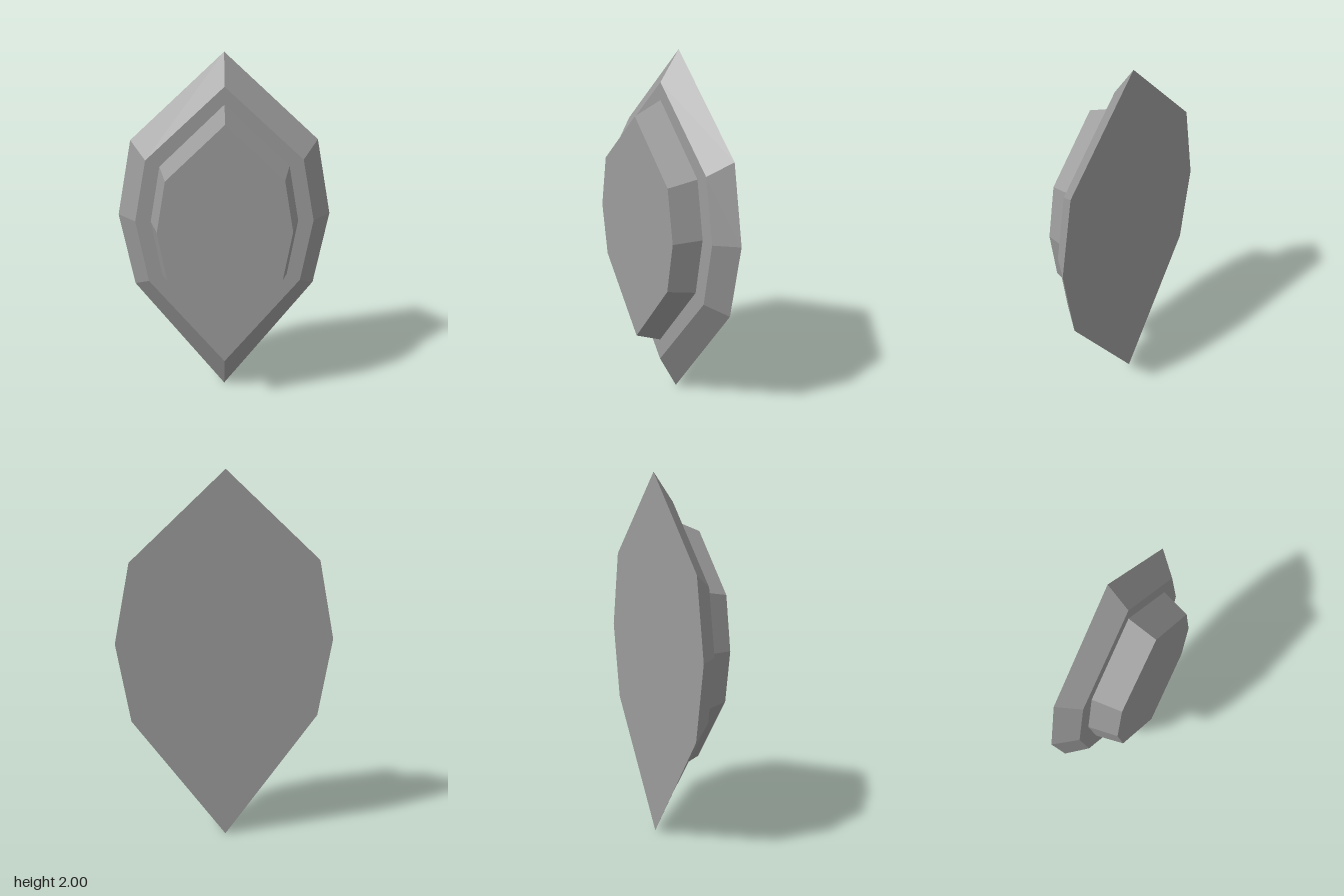
import * as THREE from 'three';

// Mirror a half outline [x, y] (top to bottom) into a full counter-clockwise ring
function ring(half, z) {
  const left = half.map(([x, y]) => new THREE.Vector3(-x, y, z));
  const right = half.slice(1, -1).reverse().map(([x, y]) => new THREE.Vector3(x, y, z));
  return [...left, ...right];
}

// Faceted solid between a back ring and a front ring, closed by flat caps
function facetedSolid(name, back, front, material) {
  const n = back.length;
  const points = [];
  const normals = [];
  const add = (normal, ...corners) => corners.forEach((corner) => {
    points.push(corner);
    normals.push(normal.x, normal.y, normal.z);
  });

  // Side facets, each with a single normal so it reads as one plane
  for (let i = 0; i < n; i++) {
    const [a, b, c, d] = [back[i], back[(i + 1) % n], front[(i + 1) % n], front[i]];
    const normal = c.clone().sub(a).cross(d.clone().sub(b)).normalize();
    add(normal, a, b, c, a, c, d);
  }

  // Front and back caps
  const forward = new THREE.Vector3(0, 0, 1);
  const backward = new THREE.Vector3(0, 0, -1);
  for (let i = 1; i < n - 1; i++) {
    add(forward, front[0], front[i], front[i + 1]);
    add(backward, back[0], back[i + 1], back[i]);
  }

  const geometry = new THREE.BufferGeometry().setFromPoints(points);
  geometry.setAttribute('normal', new THREE.Float32BufferAttribute(normals, 3));
  const mesh = new THREE.Mesh(geometry, material);
  mesh.name = name;
  return mesh;
}

export function createModel() {
  const group = new THREE.Group();
  group.name = 'facetedGem';
  const material = new THREE.MeshStandardMaterial({ color: 0x9c9c9c });

  // Wide bevelled setting at the back
  group.add(facetedSolid('setting',
    ring([[0, 2], [0.51, 1.52], [0.59, 1.09], [0.51, 0.665], [0, 0]], -0.135),
    ring([[0, 1.84], [0.425, 1.44], [0.49, 1.09], [0.425, 0.73], [0, 0.21]], -0.023),
    material));

  // Raised stone on its front
  group.add(facetedSolid('stone',
    ring([[0, 1.745], [0.35, 1.405], [0.405, 1.09], [0.35, 0.77], [0, 0.335]], -0.023),
    ring([[0, 1.68], [0.315, 1.375], [0.365, 1.085], [0.315, 0.8], [0, 0.405]], 0.135),
    material));

  return group;
}
